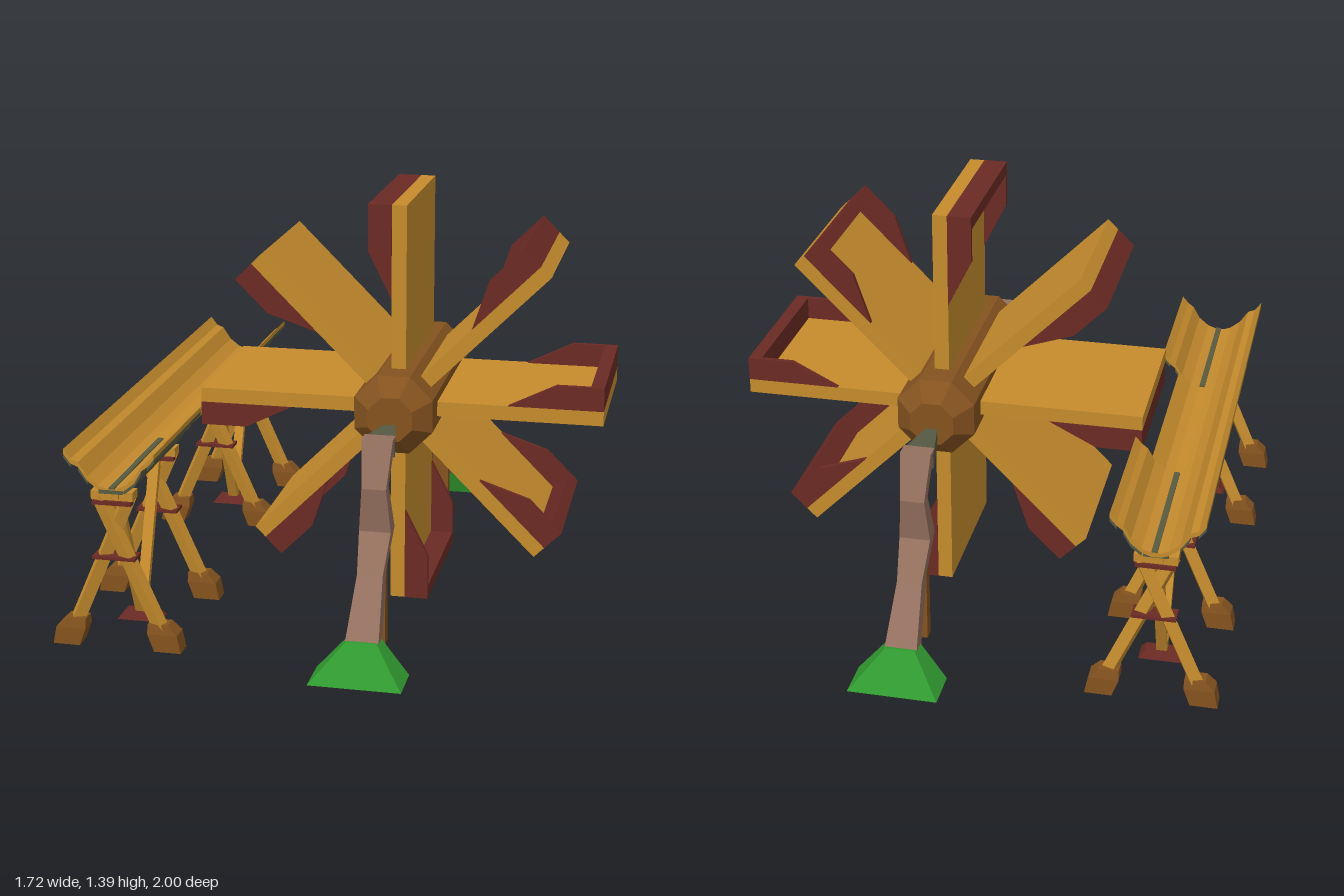
import * as THREE from 'three';

const mat = (name, color) => {
  const m = new THREE.MeshStandardMaterial({ color, flatShading: true });
  m.name = name;
  return m;
};

export function createModel() {
  const gold = mat('golden wood', 0xc68c2d);
  const red = mat('dark red wood', 0x6b2a24);
  const brown = mat('brown wood', 0x85531f);
  const clay = mat('dusty pink', 0x94705e);
  const olive = mat('dark olive', 0x565a42);
  const green = mat('green', 0x30982f);

  const root = new THREE.Group();
  root.name = 'waterWheelAndChute';

  const add = (parent, name, geometry, material) => {
    const mesh = new THREE.Mesh(geometry, material);
    mesh.name = name;
    parent.add(mesh);
    return mesh;
  };
  const group = (parent, name) => {
    const g = new THREE.Group();
    g.name = name;
    parent.add(g);
    return g;
  };
  // Box given by its minimum and maximum corners
  const box = (parent, name, material, a, b) => {
    const mesh = add(parent, name, new THREE.BoxGeometry(b[0] - a[0], b[1] - a[1], b[2] - a[2]), material);
    mesh.position.set((a[0] + b[0]) / 2, (a[1] + b[1]) / 2, (a[2] + b[2]) / 2);
    return mesh;
  };
  // Square beam between two points
  const beam = (parent, name, material, a, b, w, h = w) => {
    const p = new THREE.Vector3(...a), q = new THREE.Vector3(...b);
    const mesh = add(parent, name, new THREE.BoxGeometry(w, h, p.distanceTo(q)), material);
    mesh.position.copy(p).lerp(q, 0.5);
    mesh.quaternion.setFromUnitVectors(new THREE.Vector3(0, 0, 1), q.sub(p).normalize());
    return mesh;
  };
  // Rectangular sections [y, halfWidth, zMin, zMax, x] joined upwards
  const loft = (sections) => {
    const pos = [], idx = [];
    sections.forEach(([y, w, z0, z1, x = 0], i) => {
      pos.push(x - w, y, z0, x - w, y, z1, x + w, y, z1, x + w, y, z0);
      if (!i) return;
      for (let k = 0; k < 4; k++) {
        const b = (i - 1) * 4, n = (k + 1) % 4;
        idx.push(b + k, b + n, b + 4 + n, b + k, b + 4 + n, b + 4 + k);
      }
    });
    const t = (sections.length - 1) * 4;
    idx.push(0, 2, 1, 0, 3, 2, t, t + 1, t + 2, t, t + 2, t + 3);
    const g = new THREE.BufferGeometry();
    g.setAttribute('position', new THREE.Float32BufferAttribute(pos, 3));
    g.setIndex(idx);
    const flat = g.toNonIndexed();
    flat.computeVertexNormals();
    return flat;
  };
  const extrude = (points, depth, z) => {
    const shape = new THREE.Shape(points.map(([x, y]) => new THREE.Vector2(x, y)));
    return new THREE.ExtrudeGeometry(shape, { depth, bevelEnabled: false }).translate(0, 0, z);
  };

  // Wheel: barrel hub and eight paddles with raised rims
  const wheel = group(root, 'wheel');
  wheel.position.set(0.17, 0.7, 0);
  const hubProfile = [[0, -0.425], [0.08, -0.425], [0.143, -0.365], [0.143, 0.365], [0.08, 0.425], [0, 0.425]];
  const hub = new THREE.LatheGeometry(hubProfile.map(([r, y]) => new THREE.Vector2(r, y)), 8, Math.PI / 8);
  add(wheel, 'hub', hub.rotateX(Math.PI / 2), brown);
  const cheek = [[0.37, 0.025], [0.687, 0.025], [0.687, 0.105], [0.53, 0.105]];
  for (let i = 0; i < 8; i++) {
    const paddle = group(wheel, 'paddle');
    paddle.rotation.z = (i * Math.PI) / 4;
    box(paddle, 'paddleBoard', gold, [0.06, -0.025, -0.273], [0.687, 0.025, 0.273]);
    box(paddle, 'paddleEnd', red, [0.642, 0.025, -0.258], [0.687, 0.105, 0.258]);
    for (const z of [-0.275, 0.258]) add(paddle, 'paddleCheek', extrude(cheek, 0.017, z), red);
  }

  // Two bent arms holding the axle, front and back
  for (const turn of [0, Math.PI]) {
    const arm = group(root, 'axleSupport');
    arm.position.x = 0.17;
    arm.rotation.y = turn;
    add(arm, 'foot', loft([[0, 0.15, 0.86, 1.0], [0.105, 0.05, 0.825, 0.885]]), green);
    add(arm, 'bentArm', loft([
      [0.09, 0.055, 0.82, 0.885], [0.28, 0.042, 0.69, 0.75], [0.4, 0.052, 0.605, 0.67],
      [0.55, 0.04, 0.645, 0.69], [0.7, 0.051, 0.585, 0.635],
    ]), clay);
    beam(arm, 'wristPlate', olive, [0, 0.645, 0.648], [0, 0.69, 0.63], 0.07, 0.012);
    const hand = loft([[-0.6, 0.05, -0.03, 0.03], [-0.58, 0.048, -0.03, 0.03],
      [-0.49, 0.032, -0.025, 0.025], [-0.41, 0.016, -0.02, 0.02]]);
    add(arm, 'axlePin', hand.rotateX(-Math.PI / 2), olive).position.y = 0.662;
    box(arm, 'post', brown, [-0.03, 0, 0.605], [0.03, 0.62, 0.645]);
  }

  // Chute: curved trough in three lengths
  const chute = group(root, 'chute');
  const curve = [[-0.803, 0.676], [-0.78, 0.645], [-0.755, 0.635], [-0.725, 0.59], [-0.69, 0.562], [-0.665, 0.553],
    [-0.635, 0.553], [-0.605, 0.564], [-0.57, 0.592], [-0.545, 0.635], [-0.525, 0.65], [-0.502, 0.676]];
  const strip = (points, t, z0, z1) => extrude(
    [...points.map(([x, y]) => [x, y - t]), ...points.slice().reverse()], z1 - z0, z0);
  const lower = curve.map(([x, y]) => [x, y - 0.016]);
  for (const [z0, z1] of [[0.34, 0.86], [-0.84, -0.32]]) {
    add(chute, 'endTrough', strip(curve, 0.016, z0, z1), gold);
    for (const [a, b] of [[0, 2], [2, 4], [7, 10], [10, 12]])
      add(chute, 'troughLining', strip(lower.slice(a, b), 0.012, z0, z1), olive);
    box(chute, 'floorStrip', olive, [-0.655, 0.551, z0], [-0.636, 0.557, z1]);
    box(chute, 'oliveKeel', olive, [-0.69, 0.535, z0], [-0.61, 0.548, z1]);
    box(chute, 'keelBeam', gold, [-0.675, 0.518, z0], [-0.625, 0.535, z1]);
  }
  add(chute, 'middleTrough', strip([...curve.slice(0, 8), [-0.56, 0.605]], 0.022, -0.32, 0.34), gold);

  // Trestles: crossed legs with blocks for feet and red ties
  for (const z of [0.825, 0.37, -0.35, -0.81]) {
    const trestle = group(root, 'trestle');
    trestle.position.set(-0.65, 0, z);
    for (const s of [-1, 1]) {
      beam(trestle, 'crossedLeg', gold, [s * 0.155, 0.05, s * 0.006], [-s * 0.05, 0.52, s * 0.006], 0.04, 0.034);
      add(trestle, 'legFoot', loft([[0, 0.045, -0.032, 0.032, s * 0.172],
        [0.06, 0.05, -0.032, 0.032, s * 0.155], [0.092, 0.034, -0.026, 0.026, s * 0.14]]), brown);
    }
    box(trestle, 'topBlock', gold, [-0.07, 0.51, -0.025], [0.07, 0.54, 0.025]);
    box(trestle, 'upperTie', red, [-0.065, 0.495, -0.032], [0.065, 0.508, 0.032]);
    box(trestle, 'lowerTie', red, [-0.072, 0.307, -0.032], [0.072, 0.317, 0.032]);
  }

  // V-shaped braces meeting on a red ground plate
  for (const [mid, a, b] of [[0.59, 0.81, 0.39], [-0.575, -0.79, -0.37]]) {
    const brace = group(root, 'vBrace');
    brace.position.x = -0.65;
    for (const z of [a, b]) beam(brace, 'braceBeam', gold, [0, 0.02, mid], [0, 0.52, z], 0.036, 0.022);
    add(brace, 'groundPlate', loft([[0, 0.075, mid - 0.038, mid + 0.038],
      [0.025, 0.055, mid - 0.025, mid + 0.025]]), red);
  }
  return root;
}
